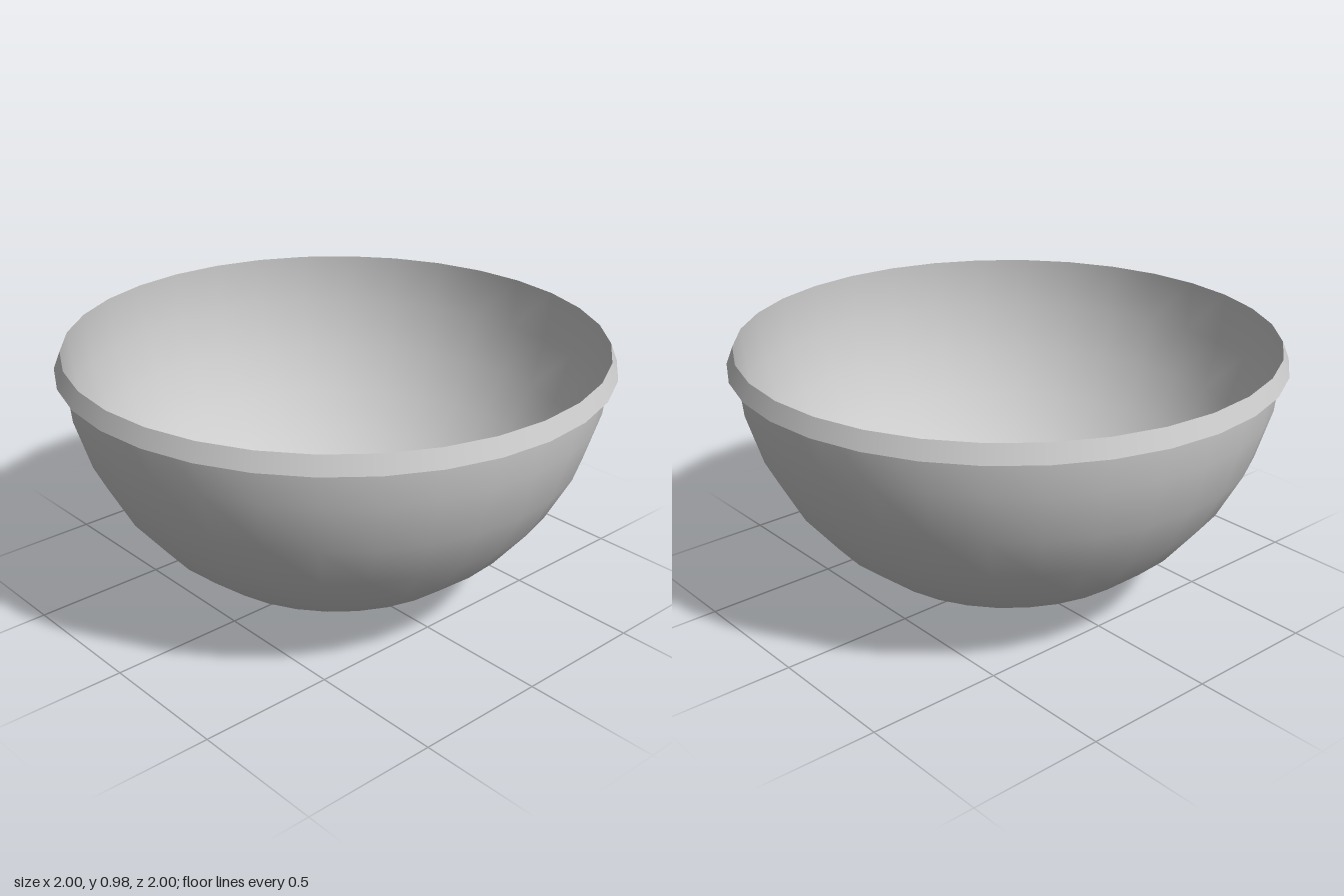
import * as THREE from 'three';

export function createModel() {
  const group = new THREE.Group();
  const material = new THREE.MeshStandardMaterial({ color: 0xcccccc, side: THREE.DoubleSide });
  const segments = 32;
  const radius = 0.975;
  const topY = 0.98;
  const footAngle = Math.PI / 16;
  const footRadius = radius * Math.sin(footAngle);
  const footY = topY - radius * Math.cos(footAngle);

  const add = (name, geometry, y) => {
    const mesh = new THREE.Mesh(geometry, material);
    mesh.name = name;
    mesh.position.y = y;
    group.add(mesh);
    return mesh;
  };

  // Thin hemispherical wall, stopping at the foot
  add('bowlWall', new THREE.SphereGeometry(radius, segments, 7, 0, Math.PI * 2,
    Math.PI / 2, Math.PI / 2 - footAngle), topY);

  // Flat floor closing the bottom of the wall
  const floor = new THREE.CircleGeometry(footRadius, segments);
  floor.rotateX(-Math.PI / 2);
  add('bowlFloor', floor, footY);

  // Open foot ring the bowl stands on
  add('footRing', new THREE.CylinderGeometry(footRadius, footRadius, footY, segments, 1, true), footY / 2);

  // Flared lip hanging from the top edge
  const lipHeight = 0.063;
  add('rimLip', new THREE.CylinderGeometry(radius, 1, lipHeight, segments, 1, true), topY - lipHeight / 2);

  return group;
}
